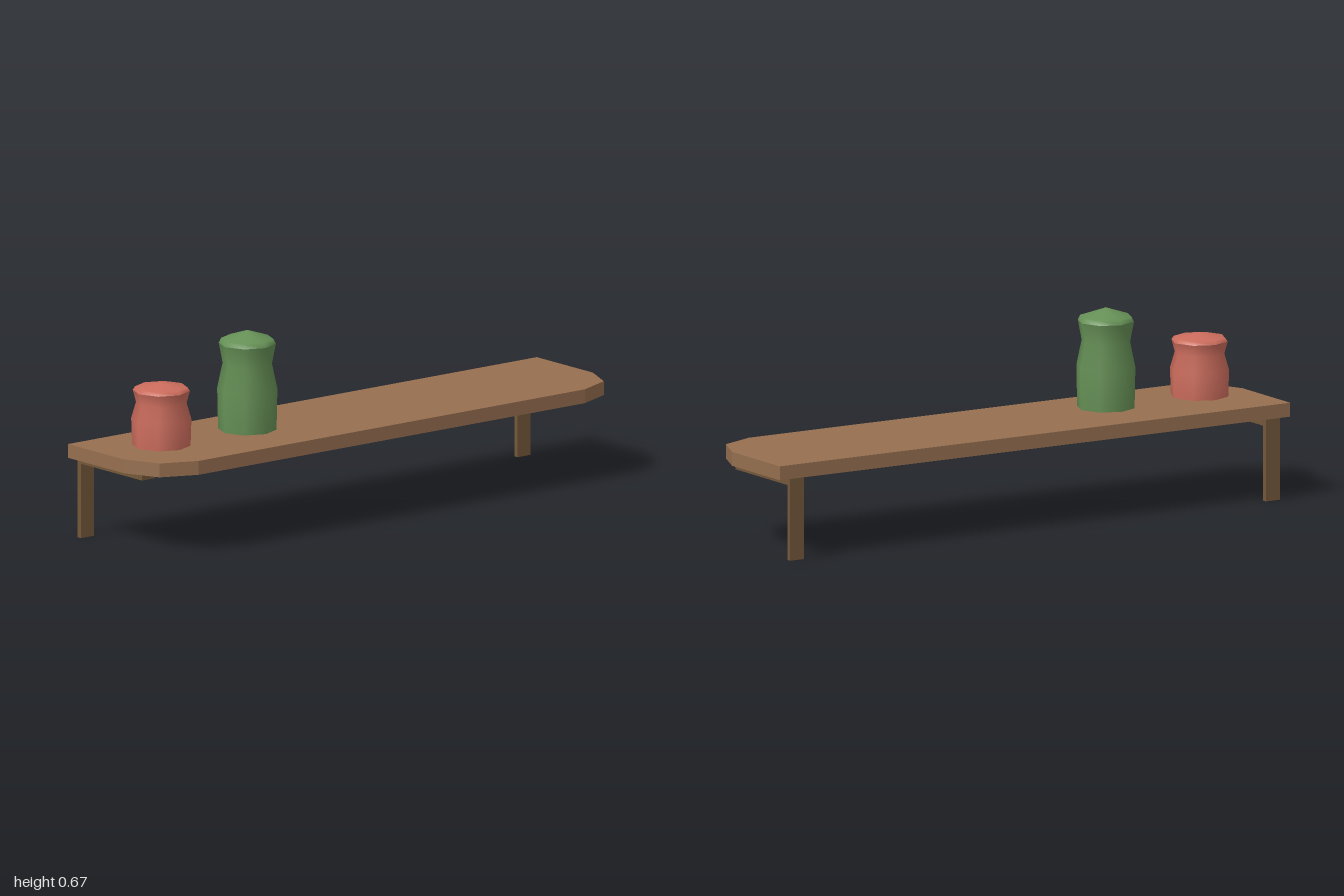
import * as THREE from 'three';

export function createModel() {
  const material = (name, color) => {
    const m = new THREE.MeshStandardMaterial({ color });
    m.name = name;
    return m;
  };
  const shelfWood = material('shelf wood', 0x966f50);
  const bracketWood = material('bracket wood', 0x73583a);
  const redClay = material('red clay', 0xcb6c5c);
  const greenClay = material('green clay', 0x658f55);

  const model = new THREE.Group();
  model.name = 'shelfWithJars';

  const add = (parent, name, geometry, mat, x = 0, y = 0, z = 0) => {
    const mesh = new THREE.Mesh(geometry, mat);
    mesh.name = name;
    mesh.position.set(x, y, z);
    parent.add(mesh);
    return mesh;
  };

  // Shelf board: straight back, clipped front corners
  const half = [[1, 0.232], [1, -0.06], [0.948, -0.18], [0.825, -0.232]];
  const outline = [...half, ...half.map(([x, y]) => [-x, y]).reverse()];
  const shape = new THREE.Shape(outline.map(([x, y]) => new THREE.Vector2(x, y)));
  const boardGeometry = new THREE.ExtrudeGeometry(shape, { depth: 0.047, bevelEnabled: false });
  boardGeometry.rotateX(-Math.PI / 2);
  add(model, 'shelfBoard', boardGeometry, shelfWood, 0, 0.275, 0);

  // L-shaped brackets: upright against the wall, arm under the board
  for (const [side, sign] of [['left', 1], ['right', -1]]) {
    const bracket = new THREE.Group();
    bracket.name = side + 'Bracket';
    bracket.position.x = sign * 0.932;
    add(bracket, 'upright', new THREE.BoxGeometry(0.055, 0.275, 0.017), bracketWood, 0, 0.1375, -0.2235);
    add(bracket, 'arm', new THREE.BoxGeometry(0.055, 0.023, 0.318), bracketWood, 0, 0.2635, -0.056);
    model.add(bracket);
  }

  // Eight-sided jars: waisted body with a shallow pointed lid
  const lathe = (points) =>
    new THREE.LatheGeometry(points.map(([r, y]) => new THREE.Vector2(r, y)), 8);

  const makeJar = (name, mat, x, body, lid) => {
    const jar = new THREE.Group();
    jar.name = name;
    jar.position.set(x, 0.33, 0);
    add(jar, 'body', lathe(body), mat);
    add(jar, 'lid', lathe(lid), mat);
    add(jar, 'base', lathe([[0, 0], body[0]]), mat);
    model.add(jar);
  };

  makeJar('redJar', redClay, -0.793,
    [[0.097, 0], [0.1, 0.09], [0.084, 0.145], [0.095, 0.185]],
    [[0.095, 0.185], [0.087, 0.197], [0, 0.213]]);
  makeJar('greenJar', greenClay, -0.426,
    [[0.097, 0], [0.1, 0.138], [0.082, 0.224], [0.095, 0.291]],
    [[0.095, 0.291], [0.087, 0.307], [0, 0.336]]);

  return model;
}
